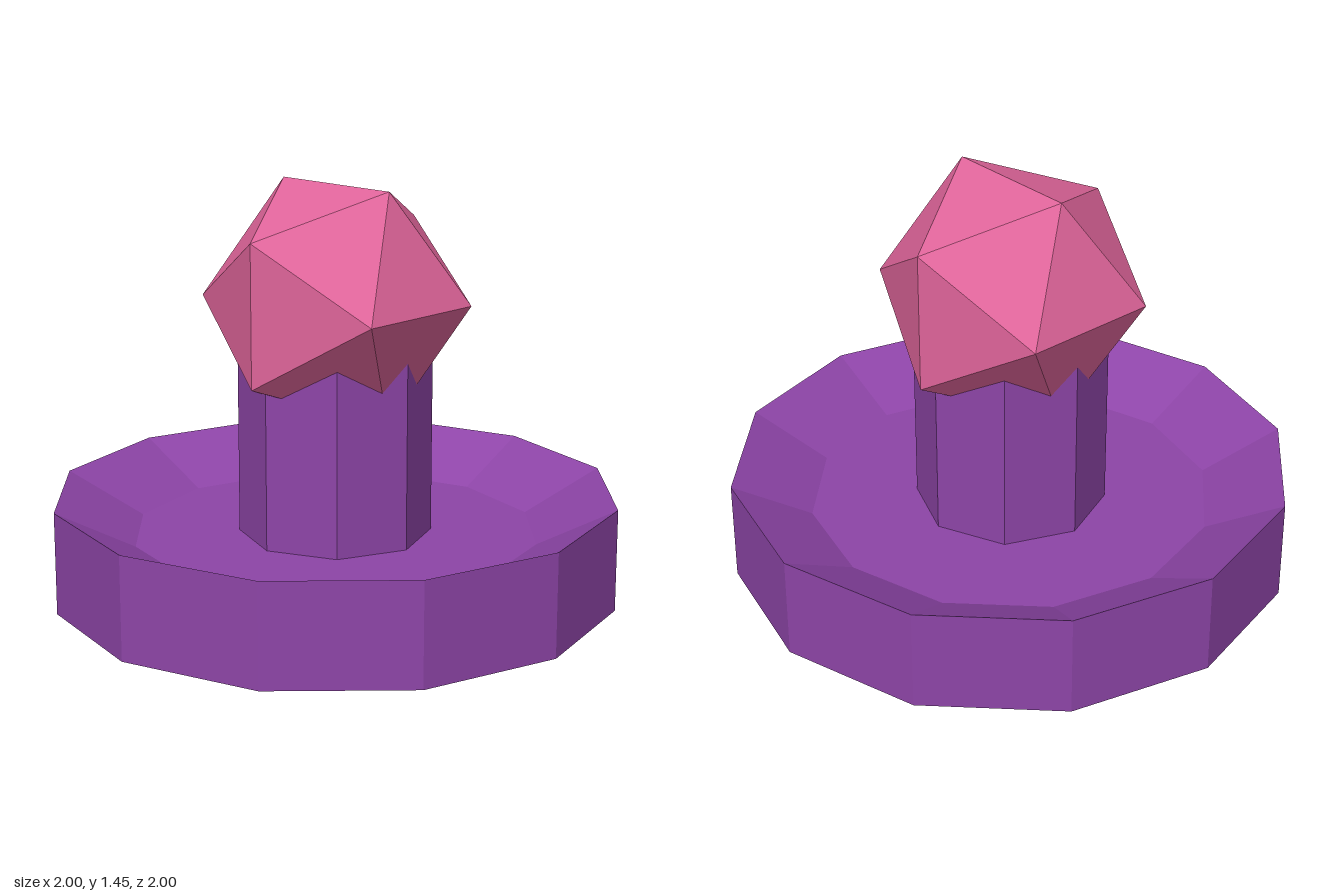
import * as THREE from 'three';

export function createModel() {
  const group = new THREE.Group();
  const purple = new THREE.MeshStandardMaterial({ color: 0x8e45a8, flatShading: true, side: THREE.DoubleSide });
  purple.name = 'purple';
  const pink = new THREE.MeshStandardMaterial({ color: 0xe0659b, flatShading: true });
  pink.name = 'pink';

  const RIM = 0.365, FLOOR = 0.22;

  const add = (name, geometry, material, y = 0) => {
    const mesh = new THREE.Mesh(geometry, material);
    mesh.name = name;
    mesh.position.y = y;
    group.add(mesh);
    return mesh;
  };
  const lathe = (...points) =>
    new THREE.LatheGeometry(points.map(([r, y]) => new THREE.Vector2(r, y)), 12);

  // Thin outer wall, open underneath
  add('baseWall', lathe([1, 0], [1, RIM]), purple);

  // Sunken dish: sloping sides down to a flat floor
  add('dish', lathe([1, RIM], [0.72, FLOOR], [0, FLOOR]), purple);

  // Eight-sided pillar standing on the dish floor
  const top = 1.0;
  add('pillar', new THREE.CylinderGeometry(0.34, 0.34, top - FLOOR, 8), purple, (top + FLOOR) / 2);

  // Faceted gem resting on the pillar
  const gem = new THREE.IcosahedronGeometry(0.476, 0).rotateY(Math.PI / 2);
  add('gem', gem, pink, 1.05);

  return group;
}
